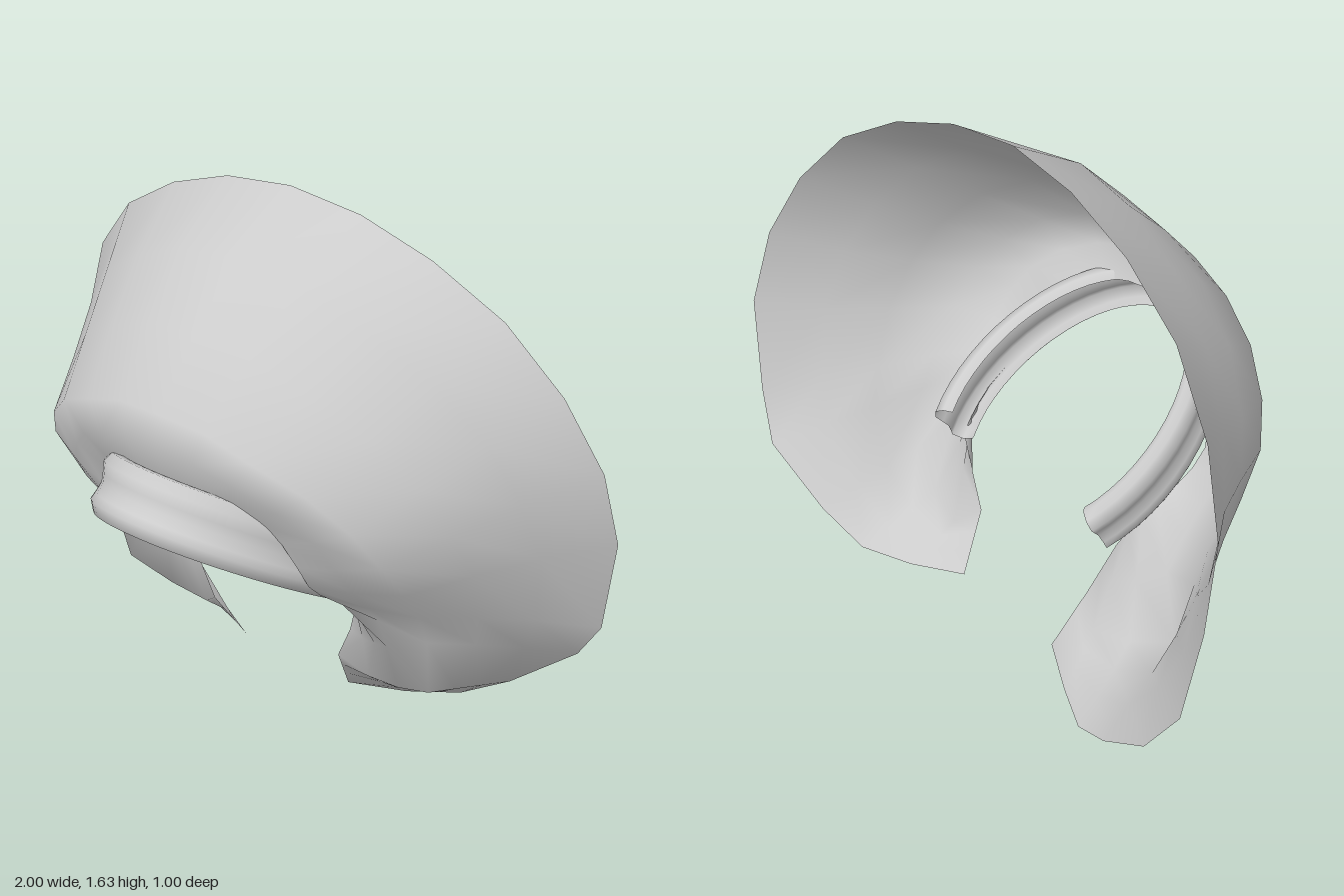
import * as THREE from 'three';

// Smooth open sheet from a grid of points: rows[i][j] = [x, y, z]
function sheet(name, rows, material) {
  const n = rows[0].length, index = [];
  for (let i = 0; i < rows.length - 1; i++) {
    for (let j = 0; j < n - 1; j++) {
      const a = i * n + j, b = a + 1, c = a + n, d = c + 1;
      index.push(a, b, c, b, d, c);
    }
  }
  const geometry = new THREE.BufferGeometry();
  geometry.setAttribute('position', new THREE.Float32BufferAttribute(rows.flat(2), 3));
  geometry.setIndex(index);
  geometry.computeVertexNormals();
  const mesh = new THREE.Mesh(geometry, material);
  mesh.name = name;
  return mesh;
}

const mix = (a, b, t) => a.map((v, k) => v + (b[k] - v) * t);

// Half of the flared collar, from top centre round to the open end
const RIM = [
  [0, 1.63, -0.19], [0.24, 1.6, -0.2], [0.47, 1.52, -0.22], [0.69, 1.39, -0.255],
  [0.86, 1.2, -0.305], [0.97, 0.98, -0.365], [1, 0.74, -0.43], [0.96, 0.43, -0.46],
  [0.87, 0.28, -0.5], [0.67, 0.11, -0.46], [0.52, 0.02, -0.42], [0.37, 0, -0.34], [0.21, 0.01, -0.25],
];
const RIDGE = [
  [0, 1.13, 0.37], [0.15, 1.12, 0.36], [0.3, 1.07, 0.34], [0.45, 1, 0.29],
  [0.56, 0.9, 0.23], [0.62, 0.79, 0.17], [0.64, 0.67, 0.08], [0.62, 0.54, -0.02],
  [0.62, 0.43, -0.07], [0.6, 0.22, -0.12], [0.46, 0.15, -0.165], [0.33, 0.12, -0.19], [0.25, 0.19, -0.14],
];
const INNER = [
  [0, 0.93, 0.35], [0.1, 0.92, 0.34], [0.19, 0.9, 0.32], [0.27, 0.85, 0.28],
  [0.33, 0.79, 0.24], [0.37, 0.72, 0.22], [0.39, 0.65, 0.19], [0.39, 0.6, 0.14],
  [0.385, 0.56, 0.07], [0.38, 0.53, 0.01], [0.37, 0.5, -0.04], [0.36, 0.47, -0.08], [0.35, 0.43, -0.12],
];

// Cross-section of the collar at column i: rim, wall, ridge, inner edge.
// The wall bulges at the top and hollows slightly at the sides.
function collarColumn(i, side) {
  const fade = 1 - i / 12, angle = (i / 12) * Math.PI * 0.9;
  const bulge = 0.052 * fade * Math.cos((i / 6) * Math.PI);
  const out = [Math.sin(angle) * 0.67, Math.cos(angle) * 0.67, 0.74];
  const wall = (t, amount) => mix(RIM[i], RIDGE[i], t).map((v, k) => v + out[k] * bulge * amount);
  const fold = mix(RIDGE[i], INNER[i], 0.5);
  fold[2] += 0.025 * fade;
  const column = [RIM[i], wall(0.36, 1), wall(0.68, 0.7), RIDGE[i], fold, INNER[i]];
  return column.map(([x, y, z]) => [x * side, y, z]);
}

// Neck band profile: [radial offset, height across the band], lips curled inward
const BAND = [
  [-0.03, 0.175], [-0.006, 0.19], [0.02, 0.186], [0.036, 0.153], [0.027, 0.12],
  [0.021, 0.092], [0.028, 0.06], [0.035, 0.037], [0.014, 0.003], [-0.015, 0], [-0.03, 0.02],
];

// Band cross-section at an angle round the tilted neck oval
function bandColumn(angle) {
  return BAND.map(([r, h]) => {
    const along = Math.cos(angle) * (0.45 + r);
    return [
      Math.sin(angle * 0.93) * (0.367 + r),
      0.566 + along * 0.52 + h * 0.85,
      0.105 + along * 0.85 - h * 0.52,
    ];
  });
}

export function createModel() {
  const group = new THREE.Group();
  group.name = 'flaredCollar';
  const material = new THREE.MeshStandardMaterial({ color: 0xcccccc, side: THREE.DoubleSide });

  const collar = [];
  for (let i = -12; i <= 12; i++) collar.push(collarColumn(Math.abs(i), Math.sign(i)));
  group.add(sheet('collar', collar, material));

  const band = [], steps = 36, end = THREE.MathUtils.degToRad(127);
  for (let i = 0; i <= steps; i++) band.push(bandColumn(-end + (2 * end * i) / steps));
  group.add(sheet('neckBand', band, material));
  return group;
}
